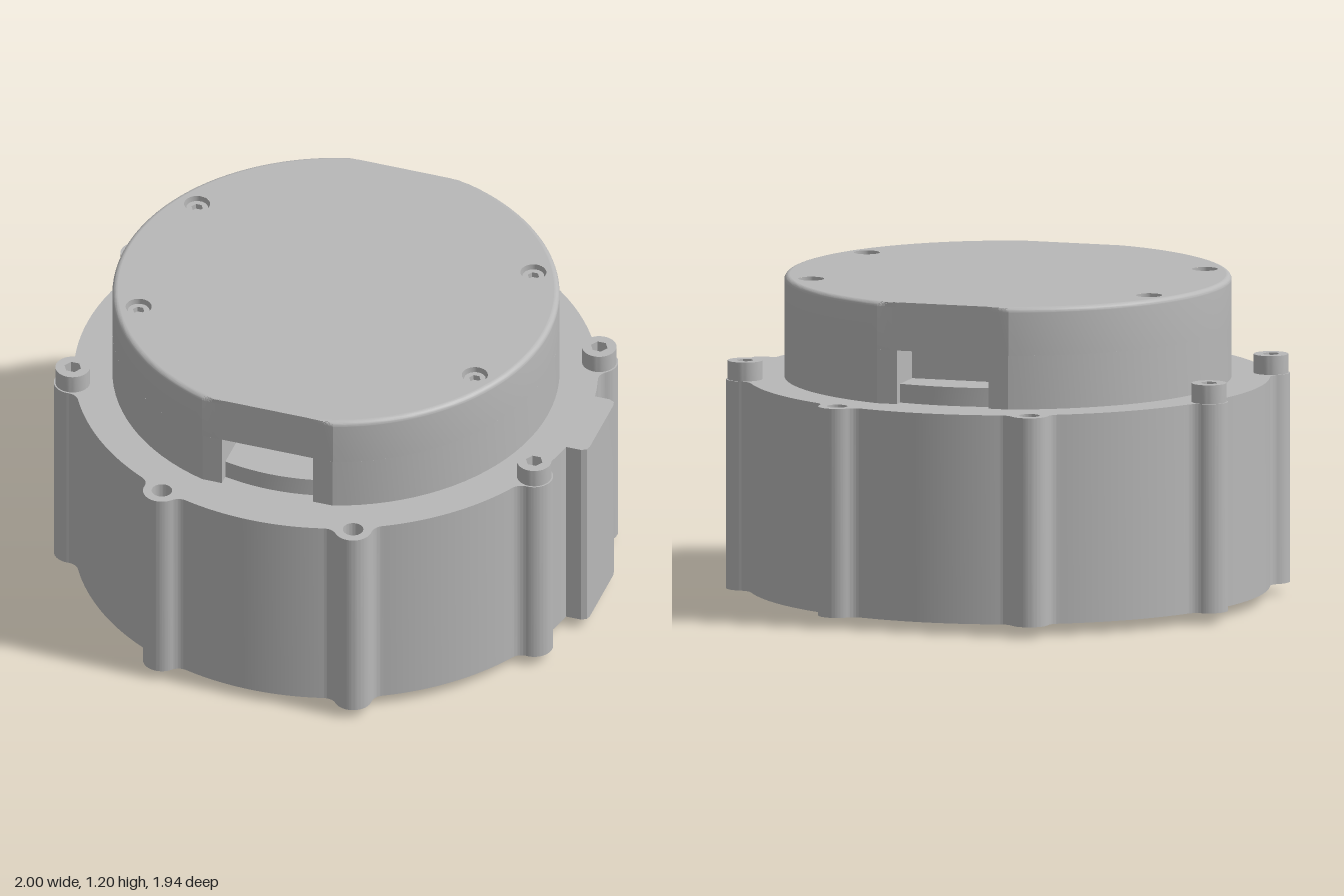
import * as THREE from 'three';
import { toCreasedNormals } from 'three/addons/utils/BufferGeometryUtils.js';

const grey = new THREE.MeshStandardMaterial({ color: 0xb8b8b8 });
grey.name = 'machined grey';

const BODY_R = 0.967, EAR_DIST = 0.973, EAR_R = 0.07, FILLET = 0.05;
const CAP_R = 0.825, FLAT_Z = 0.785, WINDOW_W = 0.178;

function add(parent, name, geometry, crease = 0.4) {
  const mesh = new THREE.Mesh(toCreasedNormals(geometry, crease), grey);
  mesh.name = name;
  parent.add(mesh);
  return mesh;
}

// Upright prism of a plan outline between two heights
function prism(shape, y0, y1) {
  return new THREE.ExtrudeGeometry(shape, { depth: y1 - y0, bevelEnabled: false, curveSegments: 20 })
    .rotateX(-Math.PI / 2).translate(0, y0, 0);
}

// Revolved profile; the surface faces the right-hand side of the walk
function lathe(points, segments = 120) {
  return new THREE.LatheGeometry(points.map(p => new THREE.Vector2(...p)), segments);
}

function circle(x, y, r) {
  return new THREE.Path().absarc(x, y, r, 0, Math.PI * 2, true);
}

function hexagon(r) {
  const pts = [];
  for (let i = 0; i < 6; i++) {
    const a = -i * Math.PI / 3;
    pts.push(new THREE.Vector2(r * Math.cos(a), r * Math.sin(a)));
  }
  return new THREE.Path(pts);
}

const earAngles = Array.from({ length: 8 }, (_, i) => (i + 0.5) * Math.PI / 4);
const polar = (r, a) => [r * Math.cos(a), r * Math.sin(a)];

// Housing plan: circle, eight filleted screw ears and a side tab
function bodyShape() {
  const s = new THREE.Shape();
  const rf = BODY_R + FILLET, ef = EAR_R + FILLET;
  const phi = Math.acos((rf * rf + EAR_DIST * EAR_DIST - ef * ef) / (2 * rf * EAR_DIST));
  let from = Math.asin(0.165 / BODY_R);
  s.moveTo(...polar(BODY_R, from));
  for (const a of earAngles) {
    const e = polar(EAR_DIST, a), f1 = polar(rf, a - phi), f2 = polar(rf, a + phi);
    const d1 = Math.atan2(f1[1] - e[1], f1[0] - e[0]);
    const d2 = Math.atan2(f2[1] - e[1], f2[0] - e[0]);
    s.absarc(0, 0, BODY_R, from, a - phi, false);
    s.absarc(...f1, FILLET, a - phi + Math.PI, d1 + Math.PI, true);
    s.absarc(...e, EAR_R, d1, d2, false);
    s.absarc(...f2, FILLET, d2 + Math.PI, a + phi + Math.PI, true);
    from = a + phi;
  }
  s.absarc(0, 0, BODY_R, from, Math.PI * 2 - Math.asin(0.165 / BODY_R), false);
  for (const p of [[1.01, -0.165], [1.03, -0.155], [1.035, -0.135], [1.035, 0.135], [1.03, 0.155], [1.01, 0.165]]) s.lineTo(...p);
  s.closePath();
  for (const a of earAngles) s.holes.push(circle(...polar(EAR_DIST, a), 0.038));
  s.holes.push(circle(0, 0, 0.6));
  return s;
}

// Cap plan with two flats, optionally notched for the connector windows
function capShape(r, notched) {
  const s = new THREE.Shape(), c = Math.asin(FLAT_Z / r), w = WINDOW_W;
  s.absarc(0, 0, r, -c, c, false);
  if (notched) for (const p of [[w, FLAT_Z], [w, 0.6], [-w, 0.6], [-w, FLAT_Z]]) s.lineTo(...p);
  s.absarc(0, 0, r, Math.PI - c, Math.PI + c, false);
  if (notched) for (const p of [[-w, -FLAT_Z], [-w, -0.6], [w, -0.6], [w, -FLAT_Z]]) s.lineTo(...p);
  s.closePath();
  return s;
}

// Socket-head screw standing on y = 0
function screw(parent, name, x, y, z, r, h, socket) {
  const s = new THREE.Shape().absarc(0, 0, r, 0, Math.PI * 2, false);
  s.holes.push(hexagon(socket));
  const g = new THREE.Group();
  g.name = name;
  add(g, 'screwHead', prism(s, 0, h));
  add(g, 'socketFloor', new THREE.CylinderGeometry(r * 0.8, r * 0.8, h * 0.4, 24).translate(0, h * 0.2, 0));
  g.position.set(x, y, z);
  parent.add(g);
}

function buildHousing(root) {
  const g = new THREE.Group();
  g.name = 'housing';
  add(g, 'housingShell', prism(bodyShape(), 0.04, 0.82));
  for (const a of earAngles) {
    const [x, z] = polar(EAR_DIST, a);
    const side = Math.abs(x) > Math.abs(z);
    const plug = add(g, 'earBolt', new THREE.CylinderGeometry(0.0385, 0.0385, 0.66, 24));
    plug.position.set(x, 0.42, z);
    if (side) screw(g, 'sideScrew', x, 0.815, z, 0.064, 0.075, 0.032);
  }
  root.add(g);
}

function buildCap(root) {
  const g = new THREE.Group();
  g.name = 'cap';
  add(g, 'capWall', prism(capShape(CAP_R, true), 0.82, 1.02), 0.25);
  add(g, 'windowLedge', new THREE.CylinderGeometry(0.765, 0.765, 0.07, 120).translate(0, 0.855, 0));

  // Upper cap: rounded revolve, flattened front and back
  const edge = 0.02, profile = [[0, 1.02], [CAP_R, 1.02]];
  for (let i = 0; i <= 8; i++) {
    const a = i * Math.PI / 16;
    profile.push([CAP_R - edge + edge * Math.cos(a), 1.2 - edge + edge * Math.sin(a)]);
  }
  const upper = lathe(profile), p = upper.attributes.position;
  for (let i = 0; i < p.count; i++) p.setZ(i, THREE.MathUtils.clamp(p.getZ(i), -FLAT_Z, FLAT_Z));
  add(g, 'capUpper', upper, 0.25);

  // Top face with four sunken screws
  const top = capShape(CAP_R - edge, false);
  for (const x of [-0.655, 0.655]) for (const z of [-0.335, 0.335]) {
    top.holes.push(circle(x, z, 0.048));
    add(g, 'screwWell', lathe([[0.048, 1.2], [0.048, 1.15], [0, 1.15]], 32)).position.set(x, 0, z);
    screw(g, 'capScrew', x, 1.148, z, 0.04, 0.035, 0.022);
  }
  add(g, 'capTop', new THREE.ShapeGeometry(top, 60).rotateX(-Math.PI / 2).translate(0, 1.2, 0));
  root.add(g);
}

function buildOutput(root) {
  const g = new THREE.Group();
  g.name = 'outputFlange';
  // Raised outer ring and the groove around the hub
  add(g, 'flangeRing', lathe([[0.42, 0.1], [0.515, 0.1], [0.515, 0.012], [0.53, 0], [0.6, 0], [0.61, 0.01], [0.614, 0.042]]));
  // Hub with nine round holes and three wedge pockets
  const s = new THREE.Shape().absarc(0, 0, 0.435, 0, Math.PI * 2, false);
  s.holes.push(circle(0, 0, 0.165));
  for (let i = 0; i < 12; i++) {
    const a = i * Math.PI / 6;
    if (i % 4) s.holes.push(circle(...polar(0.285, a), 0.04));
    else s.holes.push(new THREE.Path([[0.235, -0.13], [0.235, 0.13], [0.33, 0.2], [0.33, -0.2]]
      .map(([r, t]) => new THREE.Vector2(...polar(r, a + t)))));
  }
  add(g, 'hub', prism(s, 0.005, 0.105));
  add(g, 'holeFloor', lathe([[0.165, 0.085], [0.43, 0.085]]));
  add(g, 'centreBore', lathe([[0, 0.15], [0.12, 0.15], [0.12, 0.06], [0.17, 0.06]], 64));
  root.add(g);
}

export function createModel() {
  const root = new THREE.Group();
  root.name = 'actuator';
  buildHousing(root);
  buildCap(root);
  buildOutput(root);
  // The tab on the left side shifts the axis off centre
  root.children.forEach(c => { c.position.x = -0.035; });
  return root;
}
